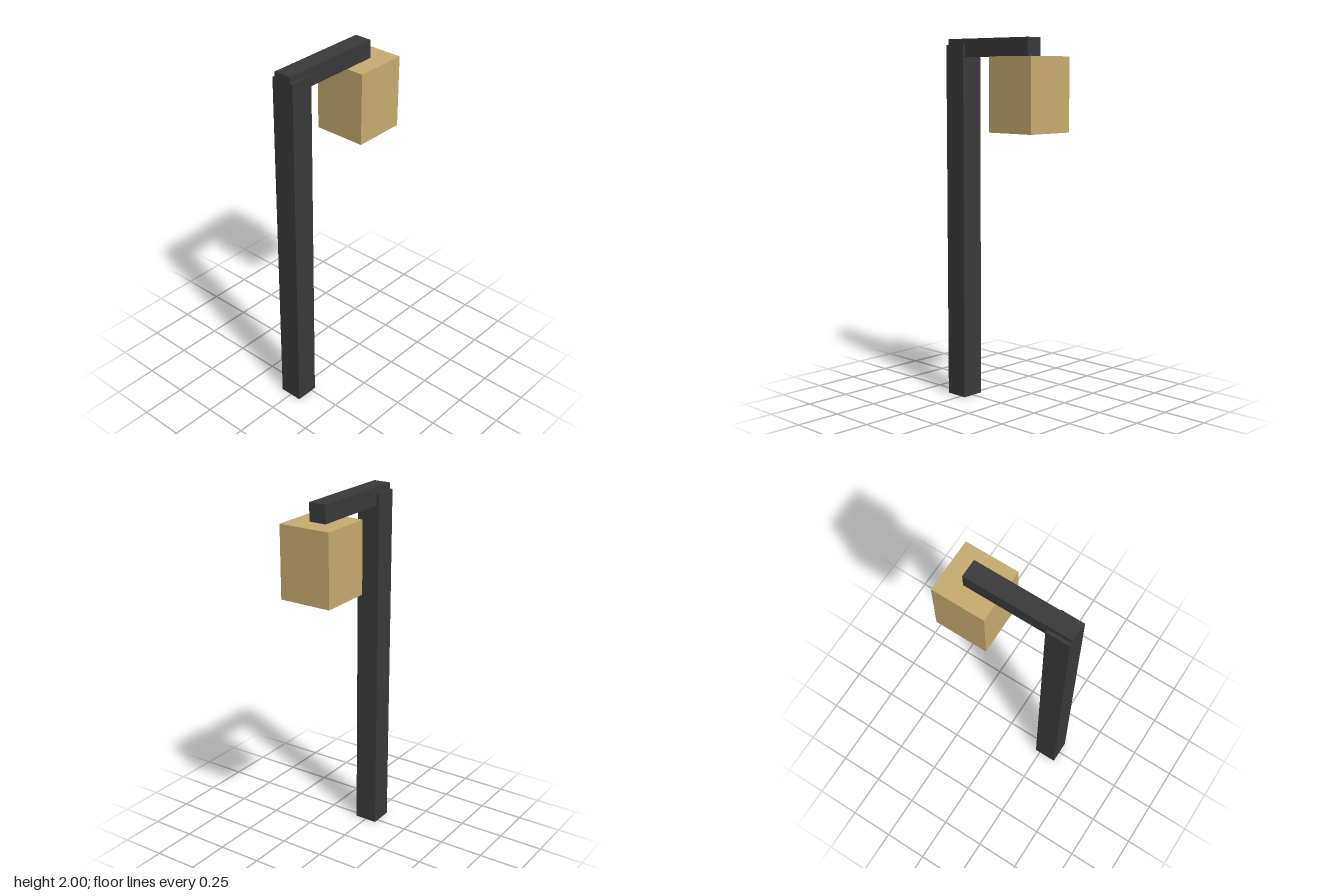
import * as THREE from 'three';

// The lamp post is laid out on a grid, 61 units tall.
const U = 2 / 61;

export function createModel() {
  const model = new THREE.Group();
  model.name = 'lampPost';

  const darkMetal = new THREE.MeshStandardMaterial({ color: 0x3a3a3a });
  darkMetal.name = 'darkMetal';
  const warmLamp = new THREE.MeshStandardMaterial({ color: 0xc8ad70 });
  warmLamp.name = 'warmLamp';

  // Box from its left edge, bottom and size in grid units, centred on z
  function addBox(name, material, x, y, width, height, depth) {
    const mesh = new THREE.Mesh(new THREE.BoxGeometry(width * U, height * U, depth * U), material);
    mesh.name = name;
    mesh.position.set((x + width / 2) * U, (y + height / 2) * U, 0);
    model.add(mesh);
  }

  // Upright post, arm flush with its outer side, lamp hanging under the arm
  addBox('post', darkMetal, -10.75, 0, 4, 60, 4);
  addBox('arm', darkMetal, -10.75, 58, 18, 3, 3);
  addBox('lamp', warmLamp, 1.75, 46, 9, 12, 9);

  return model;
}
